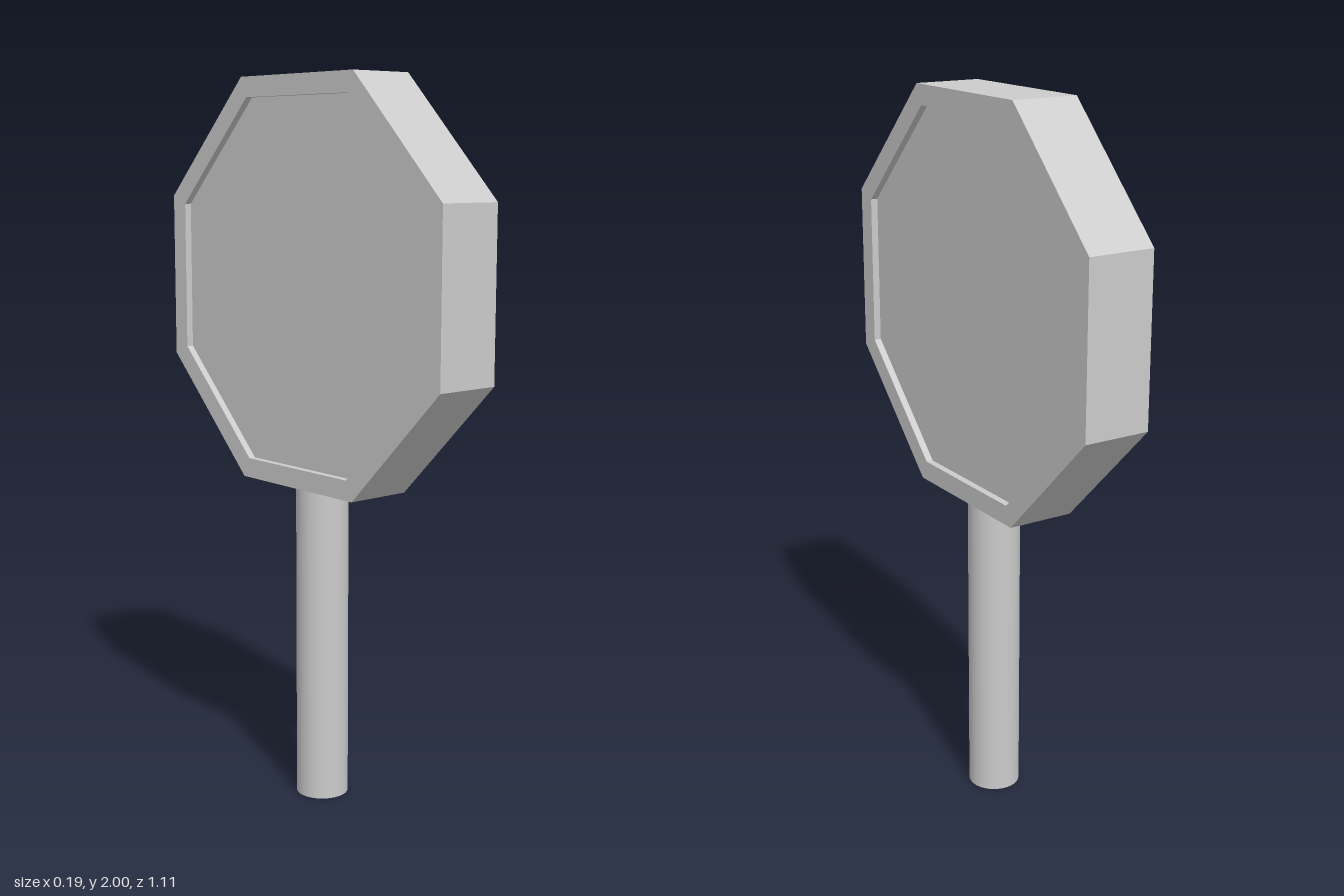
import * as THREE from 'three';

const THICKNESS = 0.19;   // overall head thickness along x
const RECESS = 0.02;      // how far each face sits behind the rim
const HEAD_Y = 1.447;
const OUTER = 0.553;      // distance from centre to flat side
const INNER = 0.498;
const POLE_RADIUS = 0.073;

// Regular octagon standing on a flat side, given its centre-to-side distance
function octagon(apothem, PathType = THREE.Shape) {
  const radius = apothem / Math.cos(Math.PI / 8);
  const points = [];
  for (let i = 0; i < 8; i++) {
    const a = Math.PI / 8 + (i * Math.PI) / 4;
    points.push(new THREE.Vector2(radius * Math.cos(a), radius * Math.sin(a)));
  }
  return new PathType(points);
}

// Extrude a shape and turn it so that its thickness runs along x
function slab(shape, depth) {
  return new THREE.ExtrudeGeometry(shape, { depth, bevelEnabled: false })
    .translate(0, 0, -depth / 2)
    .rotateY(Math.PI / 2);
}

export function createModel() {
  const model = new THREE.Group();
  model.name = 'octagonalSign';
  const grey = new THREE.MeshStandardMaterial({ color: 0xcccccc });

  const add = (name, geometry, y) => {
    const mesh = new THREE.Mesh(geometry, grey);
    mesh.name = name;
    mesh.position.y = y;
    model.add(mesh);
  };

  // Raised rim around the head
  const rim = octagon(OUTER);
  rim.holes.push(octagon(INNER, THREE.Path));
  add('rim', slab(rim, THICKNESS), HEAD_Y);

  // Panel, recessed on both faces
  add('panel', slab(octagon(INNER), THICKNESS - 2 * RECESS), HEAD_Y);

  // Round pole, ending just inside the rim
  const poleHeight = HEAD_Y - OUTER + 0.01;
  add('pole', new THREE.CylinderGeometry(POLE_RADIUS, POLE_RADIUS, poleHeight, 32), poleHeight / 2);

  return model;
}
